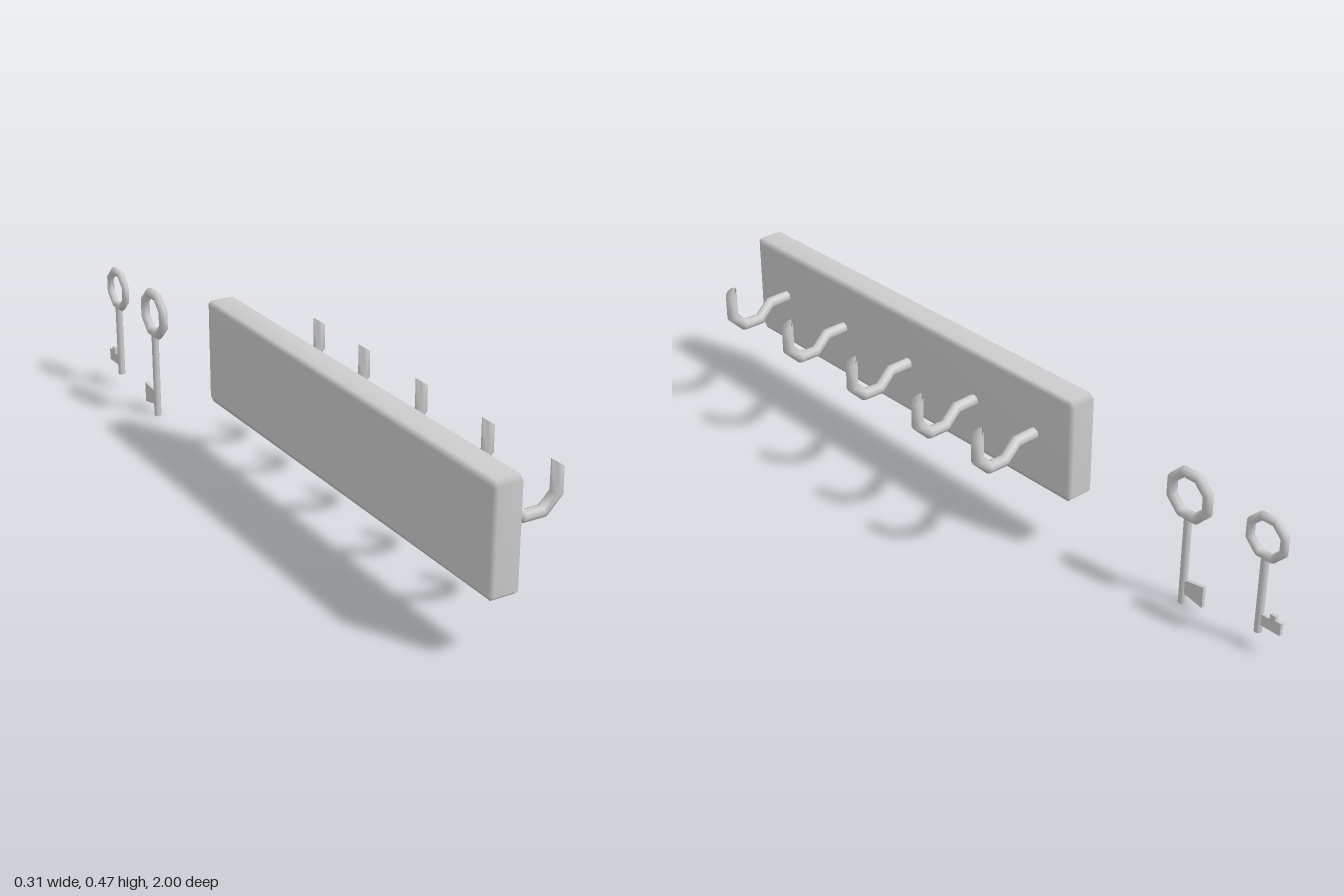
import * as THREE from 'three';
import { mergeVertices } from 'three/addons/utils/BufferGeometryUtils.js';

const material = new THREE.MeshStandardMaterial({ color: 0xcccccc });

function addMesh(parent, geometry, name) {
  const mesh = new THREE.Mesh(geometry, material);
  mesh.name = name;
  parent.add(mesh);
  return mesh;
}

// Share normals across edges for soft shading
function smooth(geometry) {
  geometry.deleteAttribute('normal');
  geometry.deleteAttribute('uv');
  const merged = mergeVertices(geometry, 1e-5);
  merged.computeVertexNormals();
  return merged;
}

const polygon = (points) => new THREE.Shape(points.map(([x, y]) => new THREE.Vector2(x, y)));

// Backing board: a rectangle with clipped corners and bevelled faces
function boardGeometry() {
  const w = 1.35, h = 0.3, bevel = 0.013, clip = 0.006, thick = 0.08, lip = 0.007;
  const a = w / 2 - bevel, b = h / 2 - bevel;
  const outline = polygon([
    [-a + clip, -b], [a - clip, -b], [a, -b + clip], [a, b - clip],
    [a - clip, b], [-a + clip, b], [-a, b - clip], [-a, -b + clip],
  ]);
  const geometry = new THREE.ExtrudeGeometry(outline, {
    depth: thick - 2 * lip, bevelEnabled: true, bevelSegments: 1, bevelSize: bevel, bevelThickness: lip,
  });
  geometry.center();
  geometry.rotateY(Math.PI / 2);
  return smooth(geometry);
}

// Hook: rings between matching points on its inner and outer edge, so every bend is mitred
function hookGeometry() {
  const sections = [
    [-0.07, 0.34, -0.07, 0.306], [0.007, 0.339, 0, 0.305], [0.048, 0.299, 0.037, 0.267],
    [0.093, 0.299, 0.105, 0.267], [0.122, 0.328, 0.154, 0.315], [0.122, 0.41, 0.154, 0.387],
  ];
  const sides = 8, radius = 0.0165, positions = [], indices = [];
  for (const [ix, iy, ox, oy] of sections) {
    for (let j = 0; j < sides; j++) {
      const t = (j / sides) * Math.PI * 2, c = Math.cos(t) / 2;
      positions.push((ix + ox) / 2 + (ix - ox) * c, (iy + oy) / 2 + (iy - oy) * c, radius * Math.sin(t));
    }
  }
  for (let i = 0; i < sections.length - 1; i++) {
    for (let j = 0; j < sides; j++) {
      const k = (j + 1) % sides, a = i * sides, b = a + sides;
      indices.push(a + j, a + k, b + j, a + k, b + k, b + j);
    }
  }
  // Slanted tip
  const tip = (sections.length - 1) * sides;
  for (let j = 1; j < sides - 1; j++) indices.push(tip, tip + j, tip + j + 1);
  const geometry = new THREE.BufferGeometry();
  geometry.setAttribute('position', new THREE.Float32BufferAttribute(positions, 3));
  geometry.setIndex(indices);
  geometry.computeVertexNormals();
  return geometry;
}

// Key: octagonal bow, round shaft and a flat bit pointing to -z
function createKey({ name, z, bottom, outer, tube, shaft, bit }) {
  const key = new THREE.Group();
  key.name = name;
  key.position.set(-0.142, 0, z);
  const bowY = 0.323;

  // Flat-topped ring, scaled so its flats reach the outer radius
  const bow = new THREE.TorusGeometry(outer - tube, tube, 8, 8);
  bow.rotateZ(Math.PI / 8);
  const stretch = 1 / Math.cos(Math.PI / 8);
  bow.scale(stretch, stretch, 1);
  bow.rotateY(Math.PI / 2);
  addMesh(key, bow, 'keyBow').position.y = bowY;

  const top = bowY - outer + tube;
  const rod = new THREE.CylinderGeometry(shaft, shaft, top - bottom, 10);
  addMesh(key, rod, 'keyShaft').position.y = (top + bottom) / 2;

  const thickness = 0.01;
  const blade = new THREE.ExtrudeGeometry(polygon(bit), { depth: thickness, bevelEnabled: false });
  blade.translate(0, 0, -thickness / 2);
  blade.rotateY(Math.PI / 2);
  addMesh(key, blade, 'keyBit');
  return key;
}

export function createModel() {
  const model = new THREE.Group();
  model.name = 'keyRack';

  addMesh(model, boardGeometry(), 'board').position.set(-0.1, 0.32, 0.325);

  const hook = hookGeometry();
  for (const z of [0.863, 0.59, 0.3, 0.025, -0.21]) addMesh(model, hook, 'hook').position.z = z;

  model.add(createKey({
    name: 'largeKey', z: -0.682, bottom: 0, outer: 0.072, tube: 0.0135, shaft: 0.0105,
    bit: [[0, 0.032], [0.018, 0.031], [0.07, 0.02], [0.07, 0.083], [0.018, 0.075], [0, 0.074]],
  }));
  model.add(createKey({
    name: 'smallKey', z: -0.93, bottom: 0.047, outer: 0.063, tube: 0.011, shaft: 0.0105,
    bit: [[0, 0.072], [0.07, 0.072], [0.07, 0.108], [0.052, 0.108], [0.052, 0.12],
      [0.035, 0.12], [0.035, 0.104], [0, 0.104]],
  }));
  return model;
}
